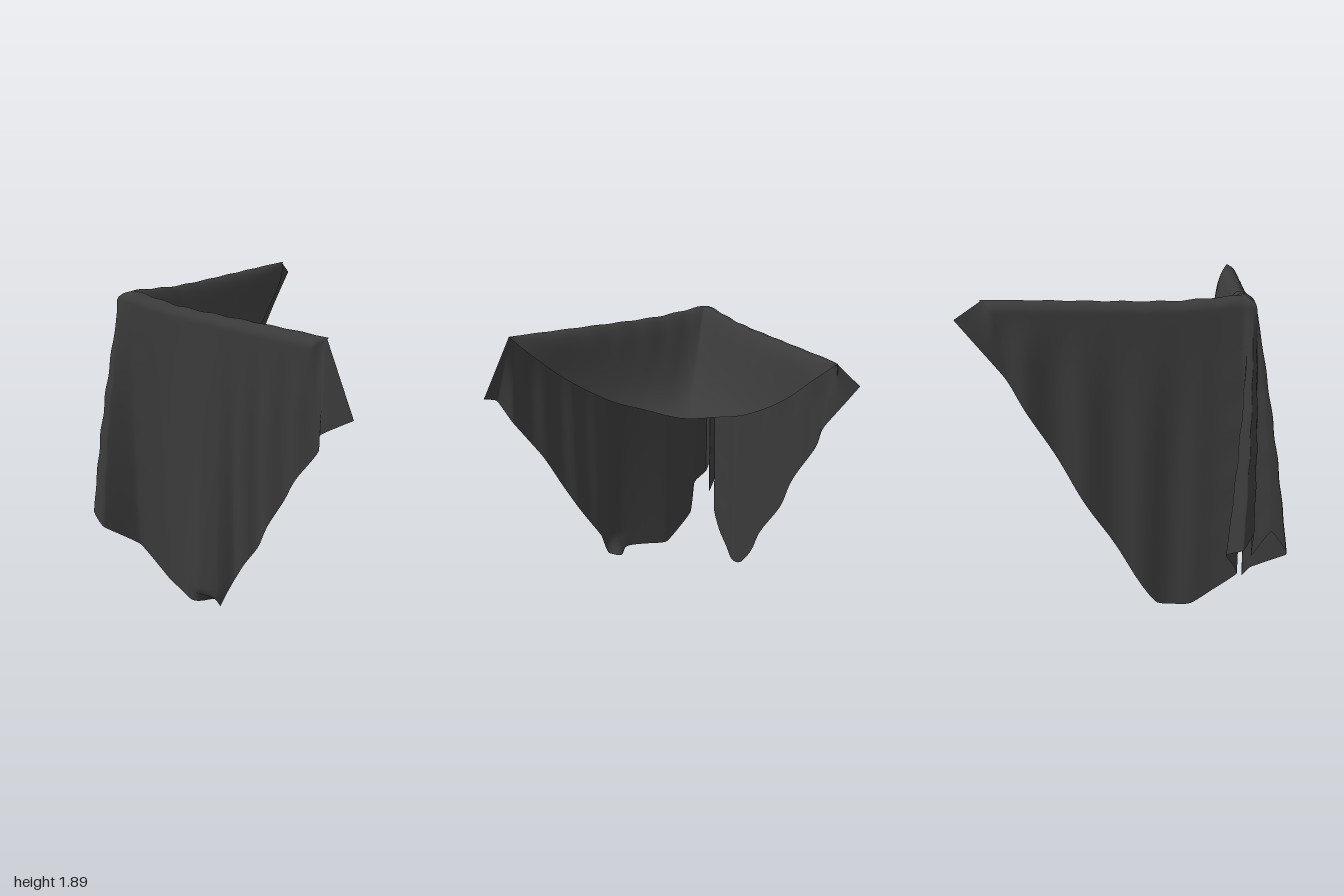
import * as THREE from 'three';

const V = (x, y, z) => new THREE.Vector3(x, y, z);
const { smoothstep } = THREE.MathUtils;
const ROD = 0.64;   // distance of both rails from the centre
const END = 0.81;   // where the cloth leaves the rails
const R = 0.06;     // radius of the fold over a rail

// Grid surface from a function (u, v) -> Vector3
function sheet(nu, nv, f) {
  const pos = [], idx = [];
  for (let i = 0; i <= nu; i++)
    for (let j = 0; j <= nv; j++) pos.push(...f(i / nu, j / nv).toArray());
  for (let i = 0; i < nu; i++)
    for (let j = 0; j < nv; j++) {
      const a = i * (nv + 1) + j, b = a + nv + 1;
      idx.push(a, a + 1, b, b, a + 1, b + 1);
    }
  const g = new THREE.BufferGeometry();
  g.setAttribute('position', new THREE.Float32BufferAttribute(pos, 3));
  g.setIndex(idx);
  g.computeVertexNormals();
  return g;
}

// Height of the cloth along the rails: slightly lumpy, highest at the corner
function ridge(x, z) {
  const d = Math.hypot(x + ROD, z - ROD);
  return 1.842 + 0.035 * Math.exp(-d * d * 14) + 0.004 * Math.sin(d * 31) * Math.exp(-d);
}

// Hanging columns from the front panel's end, round the corner, to the side
// panel's end: top x, z, then hem x, y, z
const columns = [
  [0.81, 0.69, 1.00, 1.45, 0.67],
  [0.80, 0.70, 0.88, 1.38, 0.79],
  [0.76, 0.70, 0.81, 1.24, 0.71],
  [0.60, 0.70, 0.62, 0.96, 0.71],
  [0.38, 0.70, 0.38, 0.51, 0.71],
  [0.20, 0.70, 0.20, 0.22, 0.72],
  [0.12, 0.70, 0.12, 0.02, 0.80],
  [-0.01, 0.70, -0.01, 0.01, 0.84],
  [-0.20, 0.70, -0.20, 0.01, 0.78],
  [-0.36, 0.70, -0.37, 0.01, 0.73],
  [-0.58, 0.71, -0.60, 0.20, 0.76],
  [-0.67, 0.71, -0.74, 0.36, 0.94],
  [-0.69, 0.71, -0.84, 0.44, 0.93],  // front ear
  [-0.70, 0.71, -0.82, 0.55, 0.84],
  [-0.71, 0.71, -0.76, 0.36, 0.74],  // valley between the ears
  [-0.71, 0.70, -0.86, 0.55, 0.74],
  [-0.71, 0.69, -1.00, 0.52, 0.67],  // side ear
  [-0.71, 0.67, -0.93, 0.45, 0.58],
  [-0.70, 0.63, -0.76, 0.24, 0.66],
  [-0.70, 0.40, -0.71, 0.01, 0.39],
  [-0.70, 0.20, -0.71, 0.01, 0.18],
  [-0.70, -0.28, -0.71, 0.73, -0.28],
  [-0.70, -0.54, -0.71, 1.18, -0.54],
  [-0.70, -0.73, -0.70, 1.42, -0.69],
  [-0.69, -0.81, -0.70, 1.74, -0.95],
];

function outerGeometry() {
  const spline = f => new THREE.CatmullRomCurve3(columns.map(f), false, 'catmullrom', 0.2);
  const tops = spline(c => V(c[0], 0, c[1]));
  const hems = spline(c => V(c[2], c[3], c[4]));
  const arc = 0.15;   // share of each column spent rolling over the rail
  return sheet(288, 48, (u, v) => {
    const top = tops.getPoint(u), hem = hems.getPoint(u);
    const cx = Math.max(top.x, -ROD), cz = Math.min(top.z, ROD);
    const y = ridge(cx, cz);
    const front = top.z > ROD && top.x > -ROD;
    const s = Math.max(0, front ? top.x + ROD : ROD - top.z);   // distance from the corner
    const roll = 1 - 0.85 * smoothstep(s, 1.38, 1.45);          // fold flattens at the ends
    if (v < arc) {
      const a = v / arc * Math.PI / 2, k = Math.sin(a) * roll;
      return V(cx + (top.x - cx) * k, y - R * roll * (1 - Math.cos(a)), cz + (top.z - cz) * k);
    }
    const t = (v - arc) / (1 - arc);
    const p = V(cx + (top.x - cx) * roll, y - R * roll, cz + (top.z - cz) * roll).lerp(hem, t);
    // vertical folds, deepening downwards, fading at the corner and free ends
    const fade = smoothstep(t, 0, 0.5) * (1 - smoothstep(s, 1.3, 1.44));
    if (front) {
      p.z += fade * smoothstep(s, 0.75, 1) * (0.005 + 0.016 * Math.cos((top.x - 0.47) * 33));
      // hem curling under where it touches the ground
      p.z -= 0.12 * smoothstep(t, 0.95, 1) * Math.exp(-(((top.x - 0.04) / 0.07) ** 2));
    } else {
      p.x -= fade * smoothstep(s, 0.1, 0.3) * (0.005 + 0.02 * Math.cos((top.z + 0.57) * 18.5));
    }
    // ears swell slightly outwards
    const swell = Math.exp(-s * s * 60) * Math.sin(Math.PI * t) * (0.012 + 0.003 * Math.sin(t * 34));
    p.x -= swell;
    p.z += swell;
    return p;
  });
}

// Inner part: hangs from both rails to its free diagonal edge, steepest in the corner
function innerGeometry() {
  const half = [
    V(0.00, 1.305, 0.345), V(0.22, 1.38, 0.44), V(0.48, 1.54, 0.525),
    V(0.70, 1.73, 0.575), V(END, 1.84, ROD),
  ];
  const mirror = p => V(-p.z, p.y, -p.x);   // across the diagonal
  const edge = new THREE.CatmullRomCurve3(
    [...half.map(mirror).reverse(), V(-0.195, 1.26, 0.195), ...half], false, 'catmullrom', 0.5);
  const span = ROD + END;
  // Point beside the rail at inward distance d, rounded through the corner
  const beside = (k, d, y) => {
    const fall = Math.exp(-8 * k), r = (span - 8 * d) / 16, open = 1 - k ** 5;
    return V(-ROD + span * k + (d + r) * fall * open, y, ROD - (d + r * fall) * open);
  };
  return sheet(160, 40, (u, v) => {
    const w = u * 2 - 1, k = Math.abs(w);
    const e = edge.getPoint((w + 1) / 2);
    if (w < 0) e.copy(mirror(e));
    const x = -ROD + span * k, y = ridge(x, ROD);
    const drop = (e.y - y) * (0.45 + 0.4 * Math.exp(-k * k * 16));
    const p = new THREE.CubicBezierCurve3(
      V(x, y, ROD), beside(k, 0.07, y), beside(k, 0.1, y + drop), e).getPoint(v);
    // small wrinkles below the rails
    p.y += 0.008 * Math.sin(k * 45) * Math.sin(Math.PI * v) * (1 - k) * (1 - v) * Math.min(1, k * 5);
    return w < 0 ? mirror(p) : p;
  });
}

export function createModel() {
  const group = new THREE.Group();
  group.name = 'drapedCloth';
  const material = new THREE.MeshStandardMaterial({ color: 0x3a3a3a, side: THREE.DoubleSide });
  const add = (name, geometry) => {
    const mesh = new THREE.Mesh(geometry, material);
    mesh.name = name;
    group.add(mesh);
  };
  add('hangingPanels', outerGeometry());
  add('saggingInnerPanel', innerGeometry());
  return group;
}
